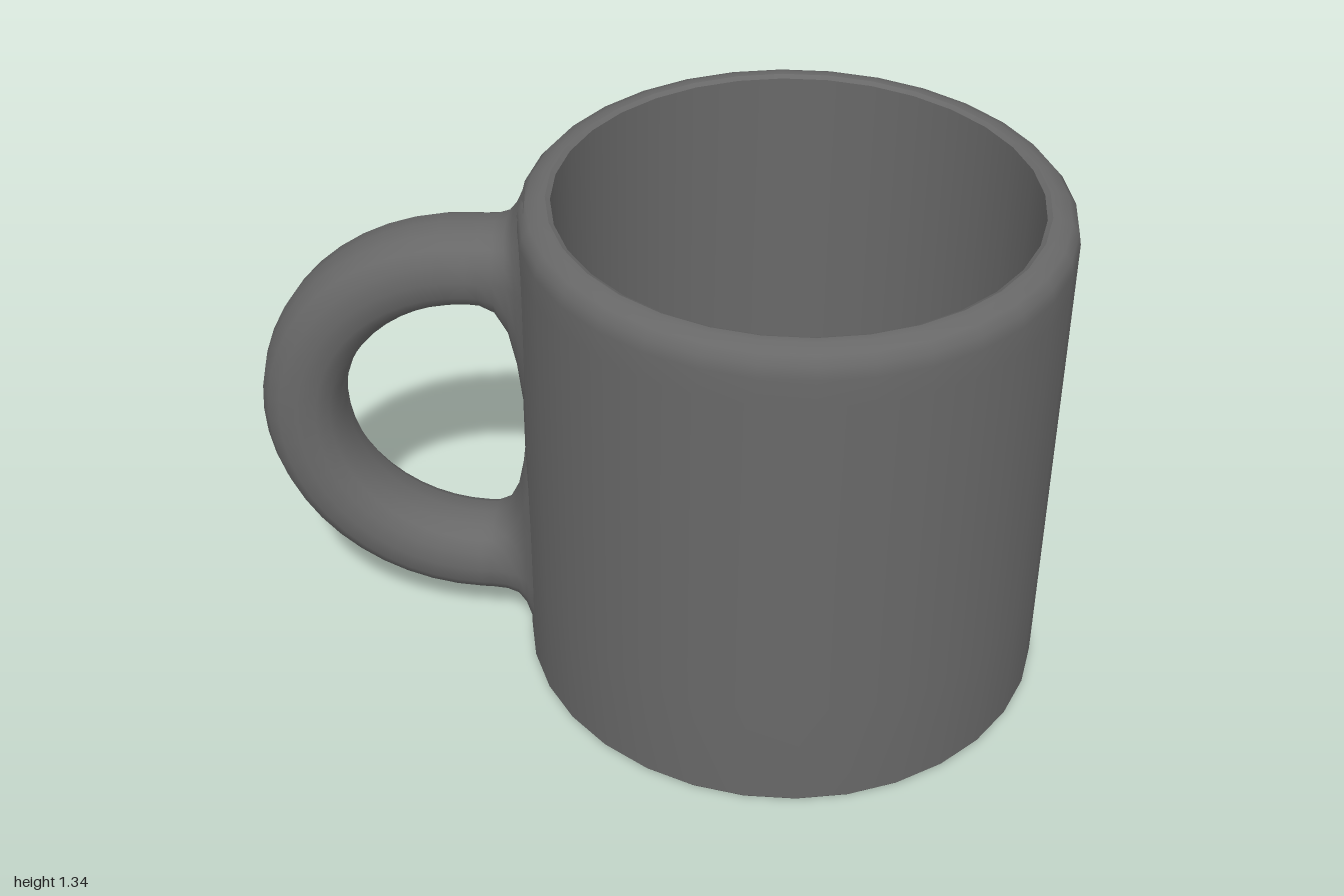
import * as THREE from 'three';

const CX = 0.337, R = 0.665, H = 1.335, SIDES = 32, MID = 0.67;

// One smooth band of the cup; separate bands keep sharp edges between them
function band(name, points, material) {
  const profile = points.map(([r, y]) => new THREE.Vector2(r, y));
  const mesh = new THREE.Mesh(new THREE.LatheGeometry(profile, SIDES, Math.PI / SIDES), material);
  mesh.name = name;
  mesh.position.x = CX;
  return mesh;
}

// Handle: a swept loop whose ends flare into the cup wall
function handleGeometry() {
  const arcR = 0.447, arcX = -0.447, seg = 16;
  // x, outer reach, inner reach, half width, how far the section wraps round the wall
  const flare = [
    [-0.308, 0.215, 0.447, 0.23, 1],
    [-0.328, 0.17, 0.38, 0.18, 1],
    [-0.34, 0.138, 0.28, 0.15, 1],
    [-0.358, 0.115, 0.19, 0.13, 0.8],
    [-0.385, 0.107, 0.13, 0.119, 0.3],
    [-0.42, 0.105, 0.107, 0.116, 0],
  ];
  const end = (sign) => ([x, outer, inner, half, wrap]) =>
    ({ x, y: MID + sign * arcR, ux: 0, uy: sign, outer, inner, half, wrap });
  const stations = flare.map(end(1));
  for (let i = 0; i <= 24; i++) {
    const t = Math.PI / 2 + Math.PI * i / 24, ux = Math.cos(t), uy = Math.sin(t);
    stations.push({ x: arcX + arcR * ux, y: MID + arcR * uy, ux, uy,
      outer: 0.105, inner: 0.105, half: 0.116, wrap: 0 });
  }
  stations.push(...flare.map(end(-1)).reverse());

  const round = (v) => Math.sign(v) * Math.pow(Math.abs(v), 0.85);
  const pos = [], index = [];
  stations.forEach((s, i) => {
    for (let j = 0; j < seg; j++) {
      const a = 2 * Math.PI * j / seg;
      const c = round(Math.cos(a)), z = round(Math.sin(a)) * s.half;
      const u = c * (c > 0 ? s.outer : s.inner);
      const shift = s.wrap * (R - Math.sqrt(R * R - z * z));
      pos.push(s.x + s.ux * u + shift, s.y + s.uy * u, z);
      if (i < stations.length - 1) {
        const k = (j + 1) % seg, p = i * seg, q = p + seg;
        index.push(p + j, q + j, p + k, p + k, q + j, q + k);
      }
    }
  });
  const g = new THREE.BufferGeometry();
  g.setAttribute('position', new THREE.Float32BufferAttribute(pos, 3));
  g.setIndex(index);
  g.computeVertexNormals();
  return g;
}

export function createModel() {
  const ceramic = new THREE.MeshStandardMaterial({ color: 0x686868 });
  ceramic.name = 'grey ceramic';
  const model = new THREE.Group();
  model.name = 'mug';

  // Cup, from the underside round the rim to the inside floor
  model.add(
    band('base', [[0, 0], [R - 0.008, 0]], ceramic),
    band('outerWall', [[R - 0.008, 0], [R, 0.01], [R, 0.3], [R, 1.2], [R, 1.27],
      [R - 0.006, 1.302], [R - 0.024, 1.323], [R - 0.052, H], [0.595, H]], ceramic),
    band('rimLip', [[0.595, H], [0.583, 1.328]], ceramic),
    band('innerWall', [[0.583, 1.328], [0.583, 0.08]], ceramic),
    band('innerFloor', [[0.583, 0.08], [0, 0.08]], ceramic),
  );

  const handle = new THREE.Mesh(handleGeometry(), ceramic);
  handle.name = 'handle';
  model.add(handle);
  return model;
}
